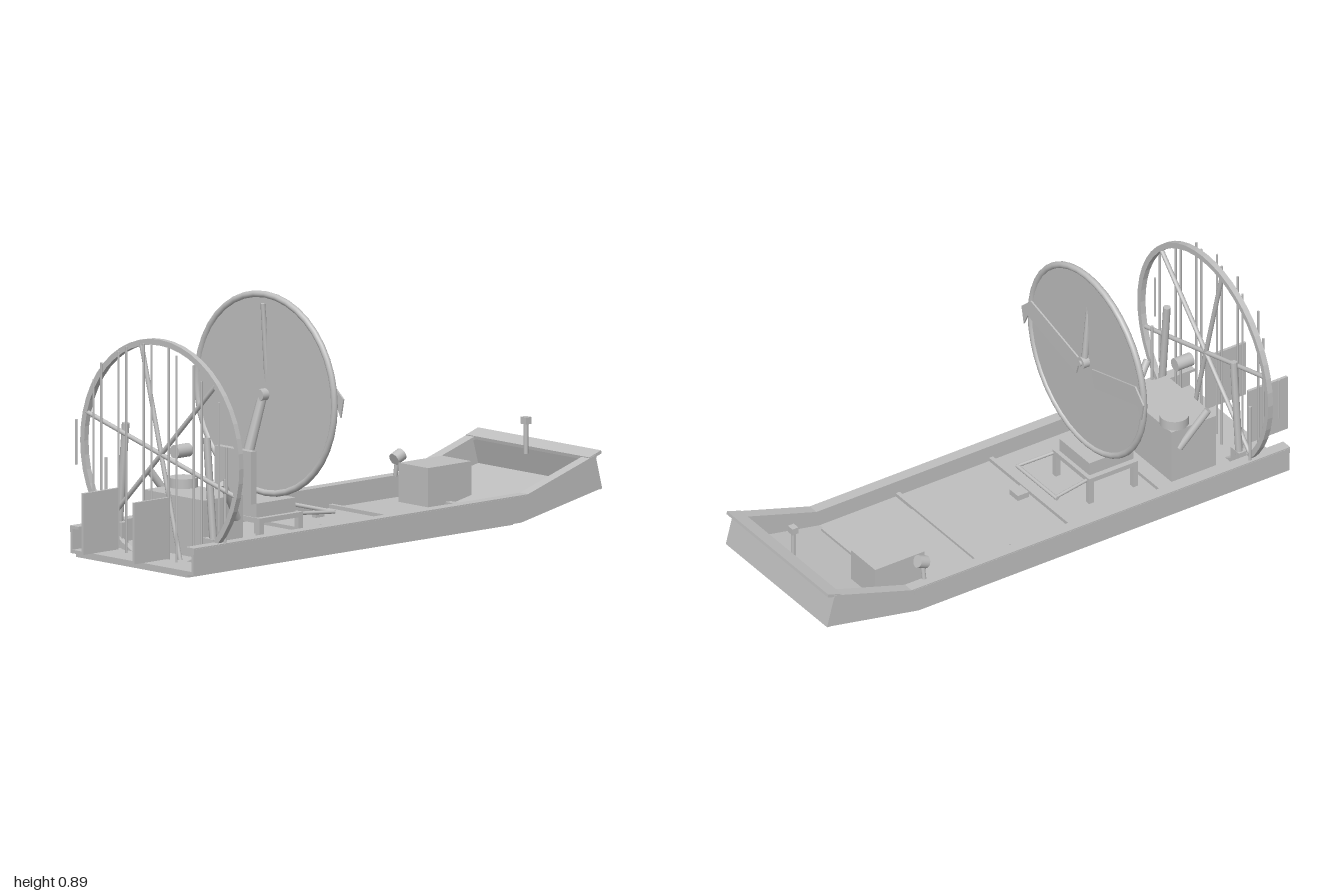
import * as THREE from 'three';

const grey = new THREE.MeshStandardMaterial({ color: 0xbfbfbf, side: THREE.DoubleSide });
grey.name = 'bare aluminium';

export function createModel() {
  const model = new THREE.Group();
  const add = (name, geo) => {
    const m = new THREE.Mesh(geo, grey);
    m.name = name;
    model.add(m);
    return m;
  };
  // box given by its minimum and maximum corners
  const box = (name, x0, x1, y0, y1, z0, z1) => {
    const m = add(name, new THREE.BoxGeometry(x1 - x0, y1 - y0, z1 - z0));
    m.position.set((x0 + x1) / 2, (y0 + y1) / 2, (z0 + z1) / 2);
    return m;
  };
  // rod between two points
  const rod = (name, a, b, r, sides = 10, rTop = r) => {
    const p = new THREE.Vector3(...a), q = new THREE.Vector3(...b);
    const d = q.clone().sub(p);
    const m = add(name, new THREE.CylinderGeometry(rTop, r, d.length(), sides));
    m.position.copy(p).add(q).multiplyScalar(0.5);
    m.quaternion.setFromUnitVectors(new THREE.Vector3(0, 1, 0), d.normalize());
    return m;
  };
  // side-view outline extruded across the boat
  const slab = (name, pts, z0, z1) => {
    const shape = new THREE.Shape(pts.map(p => new THREE.Vector2(...p)));
    const g = new THREE.ExtrudeGeometry(shape, { depth: z1 - z0, bevelEnabled: false });
    return add(name, g.translate(0, 0, z0));
  };

  // hull: floor with raised bow, side walls, gunwale flanges, bow plate
  slab('hullFloor', [[-0.89, 0.04], [0.62, 0.04], [0.985, 0.112], [0.983, 0.124], [0.617, 0.052], [-0.89, 0.052]], -0.3, 0.3);
  box('bottomPlate', -0.89, 0.61, 0.03, 0.04, -0.275, 0.275);
  for (const s of [-1, 1]) {
    const span = (a, b) => (s > 0 ? [a, b] : [-b, -a]);
    slab('hullSide', [[-0.89, 0.04], [0.62, 0.04], [0.985, 0.112], [0.955, 0.225], [0.65, 0.132], [-0.89, 0.132]], ...span(0.294, 0.304));
    slab('gunwale', [[-0.89, 0.124], [0.652, 0.124], [0.965, 0.221], [0.962, 0.231], [0.65, 0.134], [-0.89, 0.134]], ...span(0.265, 0.306));
    box('rubStrip', -0.89, 0.64, 0.112, 0.13, ...span(0.3, 0.307));
  }
  slab('bowPlate', [[0.95, 0.228], [0.983, 0.11], [0.993, 0.112], [0.962, 0.23]], -0.304, 0.304);
  slab('bowLip', [[0.935, 0.214], [0.99, 0.232], [0.988, 0.243], [0.933, 0.225]], -0.304, 0.304);
  // floor ribs and the raised fore panel
  for (const x of [-0.45, -0.08, 0.3]) box('floorRib', x - 0.008, x + 0.008, 0.05, 0.065, -0.294, 0.294);
  box('bowRib', 0.61, 0.635, 0.045, 0.065, -0.26, 0.26);
  box('forePanel', 0.3, 0.62, 0.05, 0.056, -0.2, 0.195);
  box('floorCleat', 0.13, 0.17, 0.052, 0.075, -0.205, -0.185);

  // bow locker, lamp and post
  box('bowLocker', 0.53, 0.73, 0.056, 0.19, -0.205, -0.06);
  rod('bowLamp', [0.56, 0.19, -0.26], [0.595, 0.205, -0.26], 0.022, 16);
  rod('lampStem', [0.575, 0.13, -0.27], [0.575, 0.19, -0.26], 0.008);
  rod('bowPost', [0.925, 0.2, 0], [0.925, 0.305, 0], 0.008);
  box('bowPostCap', 0.913, 0.937, 0.302, 0.326, -0.014, 0.014);

  // seat on a legged frame, with a footrest ahead
  box('seatCushion', -0.4, -0.22, 0.152, 0.2, -0.09, 0.09);
  box('seatBack', -0.425, -0.4, 0.2, 0.38, -0.09, 0.09);
  for (const s of [-1, 1]) {
    for (const x of [-0.395, -0.215]) {
      box('seatLeg', x - 0.01, x + 0.01, 0.05, 0.15, s * 0.1 - 0.01, s * 0.1 + 0.01);
      box('seatCrossbar', x - 0.01, x + 0.01, 0.135, 0.152, -0.11, 0.11);
    }
    box('seatRail', -0.405, -0.205, 0.135, 0.152, s * 0.1 - 0.01, s * 0.1 + 0.01);
    rod('footrestArm', [-0.2, 0.145, s * 0.1], [-0.065, 0.135, s * 0.115], 0.006);
  }
  rod('footrestBar', [-0.065, 0.135, -0.125], [-0.065, 0.135, 0.115], 0.007);
  box('footPedal', -0.055, -0.01, 0.06, 0.08, 0.03, 0.08);

  // large disc with round rim behind the seat front
  const discY = 0.55, discX = -0.273;
  const disc = add('propDisc', new THREE.CylinderGeometry(0.34, 0.34, 0.006, 40));
  disc.rotation.z = Math.PI / 2;
  disc.position.set(discX, discY, 0);
  const rim = add('discRim', new THREE.TorusGeometry(0.339, 0.0115, 12, 40));
  rim.rotation.y = Math.PI / 2;
  rim.position.set(discX, discY, 0);
  // side brackets reaching from near the hub to beyond the rim
  for (const s of [-1, 1]) {
    const shape = new THREE.Shape([[0.036, 0.535], [0.313, 0.622], [0.365, 0.575], [0.352, 0.51], [0.33, 0.555], [0.055, 0.47]]
      .map(([z, y]) => new THREE.Vector2(-s * z, y)));
    const g = new THREE.ExtrudeGeometry(shape, { depth: 0.006, bevelEnabled: false });
    g.rotateY(Math.PI / 2);
    // lean the outer end forward, clear of the rim
    const p = g.attributes.position;
    for (let i = 0; i < p.count; i++) p.setX(i, p.getX(i) - 0.272 + 0.04 * Math.abs(p.getZ(i)));
    g.computeVertexNormals();
    add('sideBracket', g);
  }
  rod('hub', [-0.305, discY - 0.002, 0], [-0.245, discY - 0.002, 0], 0.021, 16);
  rod('hubCap', [-0.25, discY - 0.002, 0], [-0.238, discY - 0.002, 0], 0.01, 12);
  rod('upperBlade', [-0.262, 0.56, 0], [-0.287, 0.86, 0], 0.012, 8, 0.008);
  rod('lowerBlade', [-0.285, 0.555, 0], [-0.355, 0.27, -0.03], 0.016, 8, 0.02);

  // engine block, air filter, exhausts and shaft housing
  box('engineBlock', -0.69, -0.51, 0.05, 0.252, -0.155, 0.14);
  rod('airFilter', [-0.553, 0.25, -0.108], [-0.553, 0.285, -0.108], 0.05, 24);
  rod('shaftHousing', [-0.69, 0.4, -0.005], [-0.625, 0.4, -0.005], 0.023, 20);
  for (const s of [-1, 1]) rod('exhaust', [-0.64, 0.31, s * 0.182], [-0.545, 0.175, s * 0.15], 0.013, 12);

  // stern cage: flat ring, three crossing spokes, upright rods
  const cageY = 0.4, cageR = 0.393;
  const ringShape = new THREE.Shape().absarc(0, 0, cageR, 0, Math.PI * 2, false);
  ringShape.holes.push(new THREE.Path().absarc(0, 0, cageR - 0.02, 0, Math.PI * 2, true));
  const ring = add('cageRing', new THREE.ExtrudeGeometry(ringShape, { depth: 0.02, bevelEnabled: false, curveSegments: 24 }));
  ring.rotation.y = Math.PI / 2;
  ring.position.set(-0.762, cageY, 0);
  for (const deg of [15, 75, 135]) {
    const a = THREE.MathUtils.degToRad(deg), z = 0.38 * Math.cos(a), y = 0.38 * Math.sin(a);
    rod('cageSpoke', [-0.755, cageY - y, z], [-0.755, cageY + y, -z], 0.008);
  }
  for (let i = -6; i <= 6; i++) {
    const z = i * 0.062, h = Math.sqrt(0.38 ** 2 - z * z) || 0.08;
    const x = i % 2 ? -0.778 : -0.8;
    rod('cageRod', [x, cageY - h, z], [x, cageY + h, z], 0.004, 6);
  }
  // cage posts, braces and rudders
  for (const s of [-1, 1]) {
    rod('cagePost', [-0.732, 0.05, s * 0.24], [-0.732, 0.48, s * 0.2], 0.013, 8);
    rod('cageBrace', [-0.735, 0.05, s * 0.294], [-0.735, 0.35, s * 0.294], 0.005, 8);
    box('postFoot', -0.75, -0.72, 0.05, 0.14, s * 0.225 - 0.025, s * 0.225 + 0.025);
    box('rudder', -1, -0.84, 0.07, 0.28, s * 0.125 - 0.005, s * 0.125 + 0.005);
  }
  return model;
}
